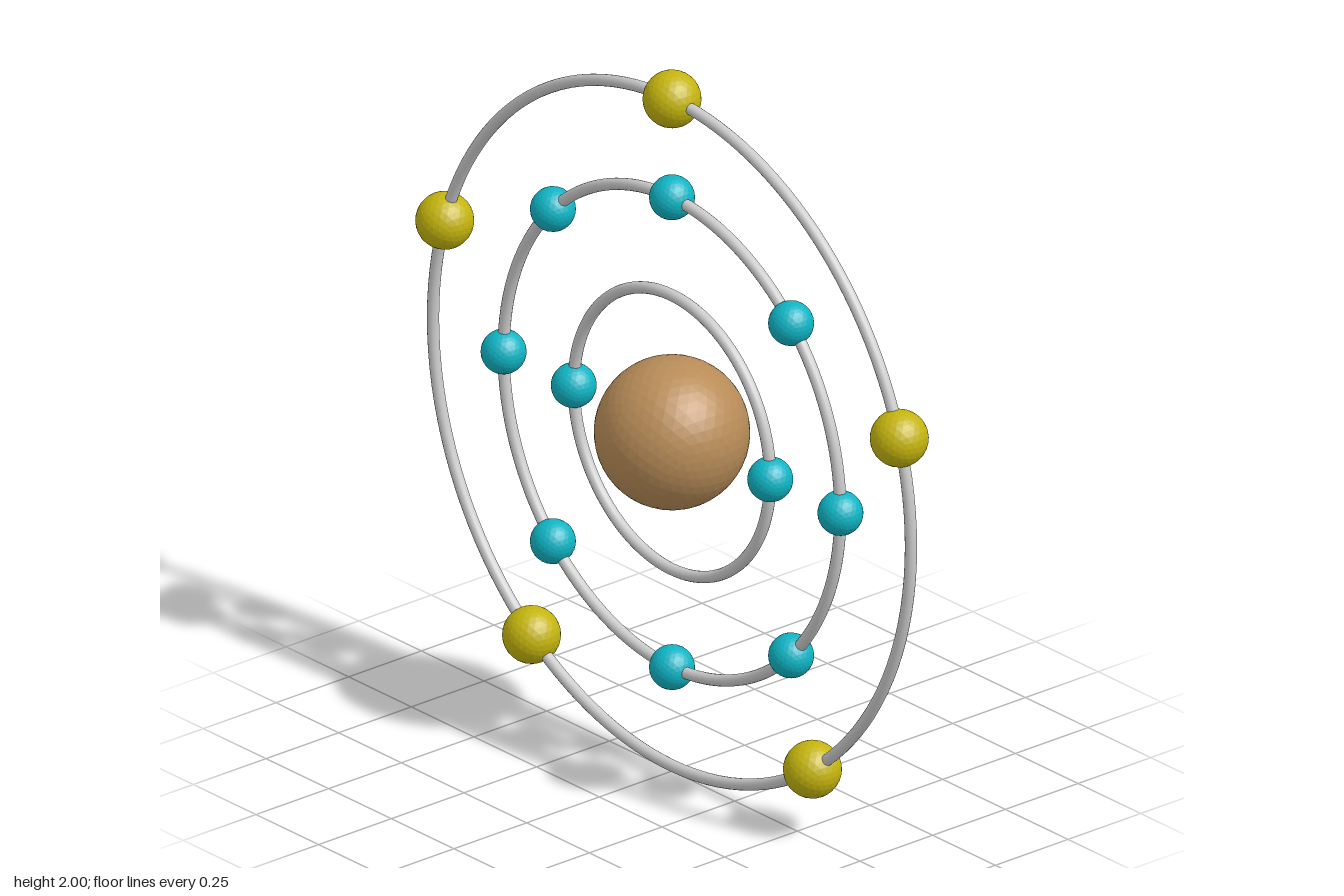
import * as THREE from 'three';

const CENTER_Y = 0.9695;
const TUBE = 0.016;

// Each shell: ring radius, number of electrons, start angle, ball radius, colour
const SHELLS = [
  { name: 'inner', radius: 0.392, count: 2, start: 0, ball: 0.06, color: 0x10b4c4 },
  { name: 'middle', radius: 0.672, count: 8, start: 0, ball: 0.06, color: 0x10b4c4 },
  { name: 'outer', radius: 0.9535, count: 5, start: Math.PI / 2, ball: 0.077, color: 0xc4b40e },
];

function ball(name, radius, detail, color) {
  const mesh = new THREE.Mesh(
    new THREE.IcosahedronGeometry(radius, detail),
    new THREE.MeshStandardMaterial({ color, flatShading: true })
  );
  mesh.name = name;
  return mesh;
}

export function createModel() {
  const model = new THREE.Group();
  model.name = 'atomModel';

  // Everything is arranged around the nucleus
  const atom = new THREE.Group();
  atom.name = 'atom';
  atom.position.y = CENTER_Y;
  model.add(atom);

  atom.add(ball('nucleus', 0.204, 7, 0xb88c58));

  const ringMaterial = new THREE.MeshStandardMaterial({ color: 0xcccccc });
  for (const shell of SHELLS) {
    const group = new THREE.Group();
    group.name = shell.name + 'Shell';

    // Orbit ring
    const ring = new THREE.Mesh(
      new THREE.TorusGeometry(shell.radius, TUBE, 16, 128),
      ringMaterial
    );
    ring.name = shell.name + 'Orbit';
    group.add(ring);

    // Electrons spaced evenly on the ring
    for (let i = 0; i < shell.count; i++) {
      const a = shell.start + (i / shell.count) * Math.PI * 2;
      const electron = ball(shell.name + 'Electron' + (i + 1), shell.ball, 4, shell.color);
      electron.position.set(Math.cos(a) * shell.radius, Math.sin(a) * shell.radius, 0);
      group.add(electron);
    }
    atom.add(group);
  }
  return model;
}
